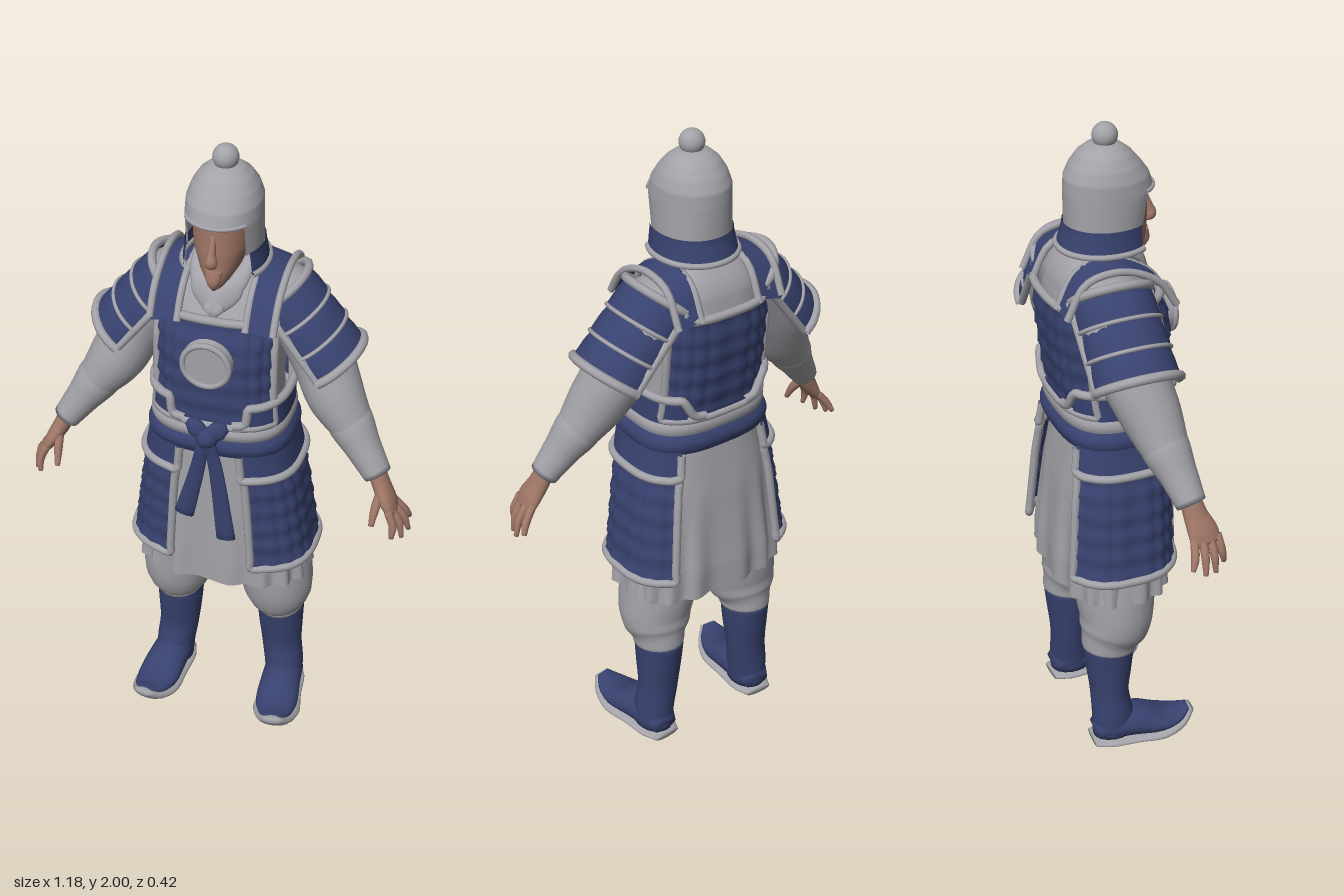
import * as THREE from 'three';

const V = (x, y, z) => new THREE.Vector3(x, y, z);
const PI = Math.PI;
const mat = (name, color) => {
  const m = new THREE.MeshStandardMaterial({ color, side: THREE.DoubleSide });
  m.name = name;
  return m;
};

// Surface from a rule f(u, v), u and v in 0..1
function grid(f, nu, nv, closed) {
  const pos = [], idx = [], w = closed ? nu : nu + 1;
  for (let j = 0; j <= nv; j++)
    for (let i = 0; i < w; i++) pos.push(...f(i / nu, j / nv).toArray());
  for (let j = 0; j < nv; j++)
    for (let i = 0; i < nu; i++) {
      const a = j * w + i, b = j * w + (i + 1) % w;
      idx.push(a, b, b + w, a, b + w, a + w);
    }
  const g = new THREE.BufferGeometry();
  g.setAttribute('position', new THREE.Float32BufferAttribute(pos, 3));
  g.setIndex(idx);
  g.computeVertexNormals();
  return g;
}

// Limb along points [x, y, z, radiusA, radiusB]; an arc gives an open shell
function loft(pts, { ref = V(0, 0, 1), arc = null, nu = 20, nv = 20 } = {}) {
  const path = new THREE.CatmullRomCurve3(pts.map(p => V(p[0], p[1], p[2])));
  const rad = new THREE.CatmullRomCurve3(pts.map(p => V(p[3], p[4], 0)));
  return grid((s, v) => {
    const cap = !arc && (v === 0 || v === 1);
    const k = arc ? v : THREE.MathUtils.clamp((v * nv - 1) / (nv - 2), 0, 1);
    const c = path.getPoint(k), r = rad.getPoint(k), t = path.getTangent(k);
    const a = t.clone().cross(ref).normalize(), b = t.clone().cross(a);
    const q = arc ? arc[0] + (arc[1] - arc[0]) * s : s * 2 * PI;
    if (cap) return c;
    return c.addScaledVector(a, r.x * Math.cos(q)).addScaledVector(b, r.y * Math.sin(q));
  }, nu, nv, !arc);
}

// Body of rounded-box sections [y, halfWidth, front, back]; angle 0 faces +z
const body = (rows, n) => (q, y, off = 0) => {
  let i = 0;
  while (i < rows.length - 2 && y > rows[i + 1][0]) i++;
  const k = THREE.MathUtils.clamp((y - rows[i][0]) / (rows[i + 1][0] - rows[i][0]), 0, 1);
  const [rx, f, b] = [1, 2, 3].map(c => rows[i][c] + (rows[i + 1][c] - rows[i][c]) * k);
  const pw = c => Math.sign(c) * Math.pow(Math.abs(c), 2 / n);
  return V((rx + off) * pw(Math.sin(q)), y, (f + b) / 2 + ((f - b) / 2 + off) * pw(Math.cos(q)));
};
const patch = (S, q0, q1, y0, y1, off, nu = 40, nv = 16) => grid((u, v) => {
  const q = q0 + (q1 - q0) * u, y = y0 + (y1 - y0) * v;
  return S(q, y, typeof off === 'function' ? off(q, y) : off);
}, nu, nv, false);
// Overlapping rows of armour scales
const scales = (S, q0, q1, y0, y1, rows) => patch(S, q0, q1, y0, y1, (q, y) => {
  const r = (y - y0) / (y1 - y0) * rows + 1e-4;
  return 0.011 + 0.009 * (1 - (r - Math.floor(r))) + 0.004 * Math.abs(Math.sin(q * 12));
}, 64, rows * 4);
const tube = (pts, r = 0.011, closed = false) =>
  new THREE.TubeGeometry(new THREE.CatmullRomCurve3(pts, closed, 'centripetal'), pts.length * 3, r, 8, closed);
const line = (S, q0, q1, y0, y1, off, n = 10) =>
  Array.from({ length: n }, (_, i) => S(q0 + (q1 - q0) * i / n, y0 + (y1 - y0) * i / n, off));
const frame = (S, q0, q1, y0, y1, off = 0.02) => tube([
  ...line(S, q0, q1, y0, y0, off, 14), ...line(S, q1, q1, y0, y1, off),
  ...line(S, q1, q0, y1, y1, off, 14), ...line(S, q0, q0, y1, y0, off)], 0.013, true);

export function createModel() {
  const grey = mat('grey cloth and metal', 0xa3a2a8);
  const blue = mat('blue armour', 0x38426f);
  const skin = mat('skin', 0x9f7767);
  const root = new THREE.Group();
  root.name = 'soldier';
  const add = (name, g, m, parent = root) => {
    const o = new THREE.Mesh(g, m);
    o.name = name;
    parent.add(o);
    return o;
  };

  // Robe
  const torso = body([
    [0.56, 0.268, 0.15, -0.185], [0.65, 0.262, 0.15, -0.185], [0.9, 0.228, 0.15, -0.165],
    [1.05, 0.197, 0.15, -0.145], [1.15, 0.178, 0.15, -0.135], [1.28, 0.172, 0.155, -0.155],
    [1.42, 0.172, 0.15, -0.172], [1.5, 0.172, 0.125, -0.172], [1.57, 0.165, 0.085, -0.16],
    [1.62, 0.12, 0.05, -0.13], [1.66, 0.065, 0.02, -0.085]], 2.8);
  add('robe', patch(torso, 0, 2 * PI, 0.56, 1.66,
    (q, y) => 0.009 * Math.sin(q * 16) * Math.max(0, 0.95 - y) / 0.4 - 0.003, 128, 48), grey);
  for (const s of [1, -1])
    add('collar', loft([[0.075 * s, 1.66, 0, 0.02, 0.012], [0.055 * s, 1.61, 0.08, 0.025, 0.012],
      [-0.015 * s, 1.53, 0.122, 0.025, 0.012]]), grey);

  // Breastplate and backplate
  for (const c of [0, PI]) {
    const name = c ? 'backplate' : 'breastplate';
    add(name, scales(torso, c - 1.05, c + 1.05, 1.18, 1.51, 5), blue);
    add(name + 'Trim', frame(torso, c - 1.05, c + 1.05, 1.18, 1.515), grey);
  }
  const disc = add('chestDisc', new THREE.CylinderGeometry(0.07, 0.074, 0.03, 32), grey);
  disc.rotation.x = PI / 2;
  disc.position.set(0, 1.4, 0.182);
  add('chestDiscRim', new THREE.TorusGeometry(0.068, 0.009, 8, 32), grey).position.set(0, 1.4, 0.195);

  // Waist and belt
  add('waistArmour', patch(torso, 0, 2 * PI, 1.16, 1.2, 0.022, 64, 3), blue);
  add('waistBand', patch(torso, 0, 2 * PI, 1.13, 1.175, (q, y) => 0.024 + 0.008 * Math.sin((y - 1.13) / 0.045 * PI), 64, 6), grey);
  add('belt', patch(torso, 0, 2 * PI, 1.07, 1.14, (q, y) => 0.02 + 0.014 * Math.sin((y - 1.07) / 0.07 * PI), 64, 6), blue);
  add('beltKnot', new THREE.SphereGeometry(0.035, 16, 12), blue).position.set(0, 1.145, 0.185);
  for (const s of [1, -1]) {
    add('beltBow', loft([[0, 1.145, 0.19, 0.015, 0.015], [0.035 * s, 1.175, 0.188, 0.03, 0.018],
      [0.06 * s, 1.185, 0.18, 0.012, 0.01]]), blue);
    const end = s > 0 ? 0.77 : 0.84;
    add('beltTail', loft([[0.008 * s, 1.14, 0.195, 0.018, 0.014], [0.028 * s, 1.03, 0.19, 0.022, 0.01],
      [(s > 0 ? 0.055 : 0.075) * s, end, 0.178, 0.03, 0.012]]), blue);
  }

  // Head and helmet
  const head = body([[1.6, 0.02, 0.105, 0.06], [1.625, 0.035, 0.12, 0.0], [1.66, 0.058, 0.122, -0.05],
    [1.72, 0.08, 0.122, -0.09], [1.84, 0.088, 0.12, -0.1]], 2.2);
  add('face', patch(head, 0, 2 * PI, 1.6, 1.84, 0, 36, 20), skin);
  add('neck', new THREE.CylinderGeometry(0.055, 0.06, 0.14, 20), skin).position.set(0, 1.64, -0.02);
  add('nose', loft([[0, 1.78, 0.118, 0.007, 0.006], [0, 1.73, 0.132, 0.012, 0.014],
    [0, 1.705, 0.138, 0.018, 0.018], [0, 1.69, 0.122, 0.01, 0.006]]), skin);
  add('beard', loft([[0, 1.67, 0.115, 0.026, 0.014], [0, 1.635, 0.12, 0.02, 0.015], [0, 1.605, 0.115, 0.005, 0.005]]), skin);
  const helm = body([[1.64, 0.118, 0.125, -0.138], [1.71, 0.108, 0.12, -0.118], [1.81, 0.108, 0.138, -0.12],
    [1.85, 0.106, 0.125, -0.118], [1.885, 0.094, 0.1, -0.102], [1.915, 0.075, 0.074, -0.08],
    [1.937, 0.05, 0.045, -0.052], [1.95, 0.004, 0.003, -0.004]], 2.1);
  add('helmetDome', patch(helm, 0, 2 * PI, 1.81, 1.95, 0, 48, 28), grey);
  add('helmetSides', patch(helm, 0.85, 2 * PI - 0.85, 1.71, 1.815, 0, 40, 8), grey);
  add('helmetBrim', tube(line(helm, -0.9, 0.98, 1.813, 1.813, 0, 16), 0.006), grey);
  add('neckGuard', patch(helm, 0.95, 2 * PI - 0.95, 1.645, 1.718, 0.004, 40, 6), blue);
  add('neckGuardTrim', tube(line(helm, 0.95, 2 * PI - 0.73, 1.648, 1.648, 0.004, 26), 0.009), grey);
  add('helmetKnob', new THREE.SphereGeometry(0.037, 20, 14), grey).position.set(0, 1.963, 0);

  // Parts repeated on both sides
  for (const s of [1, -1]) {
    const side = new THREE.Group();
    side.name = s > 0 ? 'leftSide' : 'rightSide';
    side.scale.x = s;
    root.add(side);
    const put = (name, g, m) => add(name, g, m, side);

    // Skirt armour: long panel, short upper panel, hip plate
    put('skirtPanel', scales(torso, 0.36, 2.5, 0.66, 0.99, 5), blue);
    put('skirtPanelTrim', frame(torso, 0.34, 2.52, 0.655, 0.99), grey);
    put('upperSkirtPanel', patch(torso, 0.3, 2.55, 1.0, 1.1, 0.026, 48, 4), blue);
    put('upperSkirtTrim', tube([...line(torso, 0.3, 0.3, 1.08, 1.0, 0.024, 5),
      ...line(torso, 0.3, 2.55, 0.995, 0.995, 0.028, 16), ...line(torso, 2.55, 2.55, 1.0, 1.09, 0.024, 5)], 0.013), grey);
    put('hipPlate', patch(torso, 0.5, 2.6, 1.17, 1.25, 0.027, 40, 4), blue);
    put('hipPlateTrim', tube([torso(0.25, 1.19, 0.024), torso(0.42, 1.2, 0.028),
      ...line(torso, 0.5, 2.6, 1.255, 1.255, 0.028, 16), torso(2.72, 1.2, 0.028), torso(2.9, 1.19, 0.024)], 0.013), grey);

    // Shoulder strap
    const strapX = x => [V(x, 1.5, 0.145), V(x, 1.575, 0.095), V(x, 1.62, 0.02), V(x, 1.632, -0.05),
      V(x, 1.61, -0.13), V(x, 1.51, -0.185)];
    const strap = new THREE.CatmullRomCurve3(strapX(0.14));
    put('shoulderStrap', grid((u, v) => strap.getPoint(v).add(V((u - 0.5) * 0.075, (0.5 - u) * 0.02, 0)), 4, 24), blue);
    for (const x of [0.1, 0.18]) put('strapTrim', tube(strapX(x), 0.011), grey);

    // Sleeve and bracer
    put('sleeve', loft([[0.1, 1.55, -0.045, 0.06, 0.1], [0.18, 1.51, -0.045, 0.092, 0.11], [0.27, 1.37, -0.03, 0.09, 0.1],
      [0.33, 1.25, 0.005, 0.086, 0.088], [0.385, 1.17, 0.025, 0.066, 0.07], [0.42, 1.12, 0.04, 0.05, 0.055]], { nv: 28 }), grey);
    put('bracer', loft([[0.365, 1.2, 0.015, 0.066, 0.066], [0.385, 1.17, 0.025, 0.068, 0.07], [0.43, 1.105, 0.045, 0.054, 0.056],
      [0.482, 1.03, 0.065, 0.042, 0.044]]), grey);

    // Shoulder guard: three overlapping bands, each with a trim edge
    const at = (k, r) => [0.14 + 0.16 * k, 1.545 - 0.205 * k, -0.042 + 0.015 * k, r, r + 0.008];
    const out = V(0.788, 0.615, 0);
    const rim = (k, r, a) => {
      const c = at(k, r);
      return V(c[0], c[1], c[2]).addScaledVector(out, c[3] * Math.cos(a)).add(V(0, 0, c[4] * Math.sin(a)));
    };
    for (let i = 0; i < 3; i++) {
      const k0 = i / 3, k1 = (i + 1) / 3, r = 0.108 + 0.002 * i;
      put('shoulderBand', loft([at(k0, r - 0.004), at((k0 + k1) / 2, r + 0.004), at(k1 + 0.02, r + 0.006)],
        { arc: [PI - 1.6, PI + 1.6], nv: 6, nu: 28 }), blue);
      put('shoulderBandTrim', tube(Array.from({ length: 13 }, (_, j) => rim(k1 + 0.02, r + 0.006, -1.6 + 3.2 * j / 12)),
        i === 2 ? 0.014 : 0.006), grey);
    }
    put('shoulderTopTrim', tube(Array.from({ length: 13 }, (_, j) => rim(0, 0.108, -1.6 + 3.2 * j / 12)), 0.013), grey);
    for (const a of [-1.6, 1.6])
      put('shoulderEdgeTrim', tube([0, 0.33, 0.67, 1].map(k => rim(k, 0.112, a)), 0.012), grey);

    // Hand
    put('palm', loft([[0.475, 1.05, 0.062, 0.026, 0.03], [0.497, 1.0, 0.072, 0.026, 0.036],
      [0.523, 0.955, 0.085, 0.022, 0.046], [0.54, 0.925, 0.09, 0.014, 0.042]]), skin);
    const tips = [[0.58, 0.87, 0.03], [0.585, 0.85, 0.068], [0.572, 0.845, 0.105], [0.548, 0.86, 0.14]];
    tips.forEach((t, i) => {
      const z = 0.055 + 0.023 * i;
      put('finger', loft([[0.53, 0.945, z, 0.012, 0.013], [(0.538 + t[0]) / 2 + 0.006, 0.9, (z + t[2]) / 2, 0.012, 0.012],
        [...t, 0.007, 0.007]], { nu: 10, nv: 10 }), skin);
    });
    put('thumb', loft([[0.5, 0.99, 0.085, 0.014, 0.016], [0.492, 0.945, 0.125, 0.013, 0.014],
      [0.488, 0.9, 0.15, 0.008, 0.008]], { nu: 10, nv: 10 }), skin);

    // Trouser leg, gathered at the boot
    put('trouserLeg', loft([[0.125, 0.72, -0.025, 0.11, 0.12], [0.145, 0.58, -0.03, 0.118, 0.125], [0.162, 0.47, -0.03, 0.113, 0.115],
      [0.166, 0.415, -0.042, 0.102, 0.106], [0.168, 0.38, -0.052, 0.08, 0.09], [0.168, 0.355, -0.055, 0.076, 0.086]], { nv: 24 }), grey);

    // Boot with upturned toe and sole
    put('bootShaft', loft([[0.168, 0.37, -0.057, 0.076, 0.083], [0.17, 0.28, -0.057, 0.071, 0.072], [0.175, 0.18, -0.057, 0.064, 0.06],
      [0.185, 0.1, -0.05, 0.062, 0.066], [0.187, 0.035, -0.045, 0.058, 0.07]]), blue);
    const up = { ref: V(0, 1, 0) };
    put('bootFoot', loft([[0.184, 0.045, -0.11, 0.04, 0.03], [0.187, 0.065, -0.06, 0.06, 0.055], [0.193, 0.065, 0.02, 0.064, 0.053],
      [0.202, 0.05, 0.1, 0.067, 0.034], [0.211, 0.057, 0.16, 0.05, 0.02], [0.216, 0.078, 0.194, 0.022, 0.008]], up), blue);
    put('bootSole', loft([[0.184, 0.014, -0.118, 0.045, 0.012], [0.187, 0.015, -0.06, 0.066, 0.015], [0.194, 0.016, 0.02, 0.068, 0.016],
      [0.203, 0.02, 0.1, 0.076, 0.02], [0.212, 0.038, 0.165, 0.058, 0.022], [0.217, 0.073, 0.204, 0.026, 0.012]], up), grey);
  }
  return root;
}
